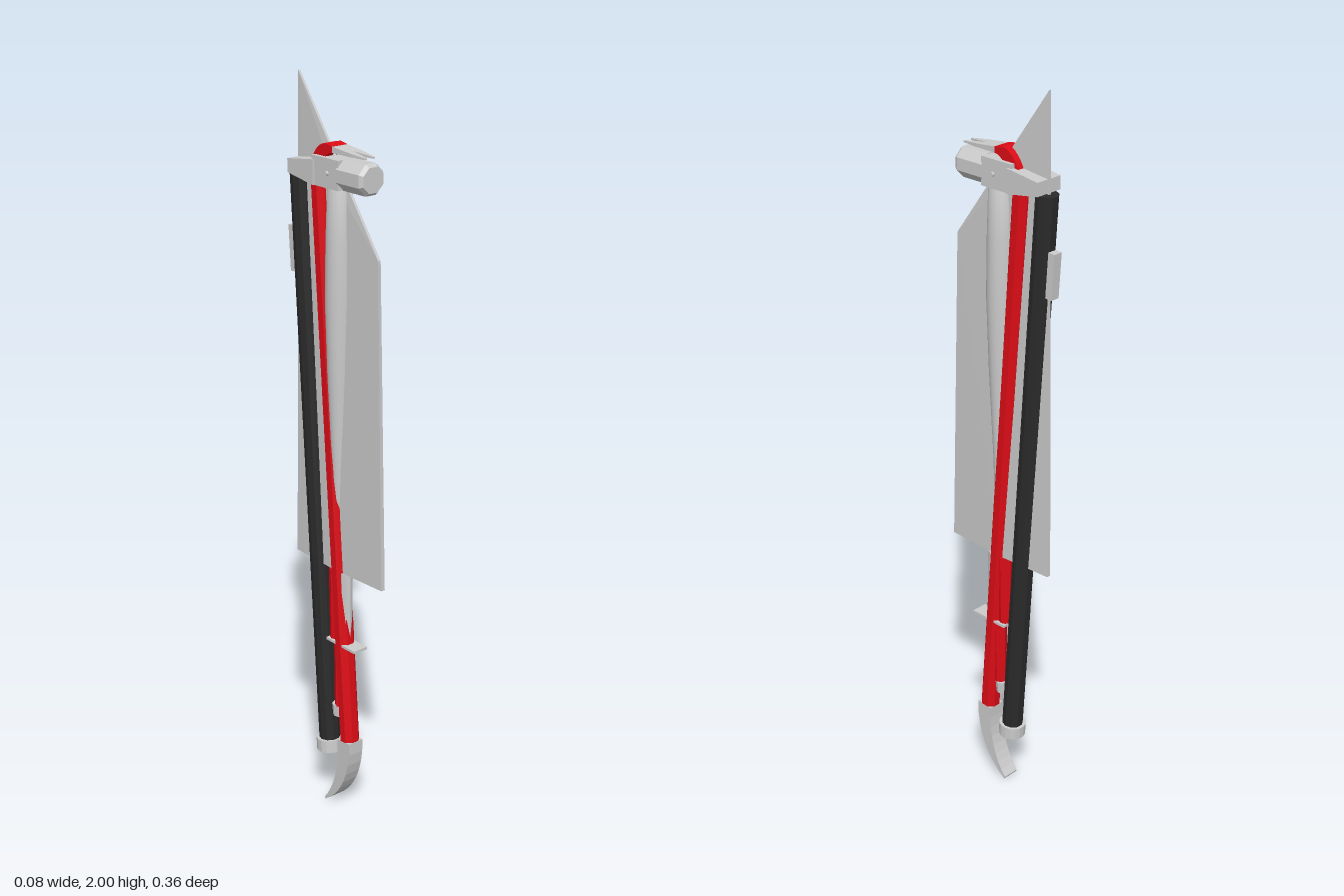
import * as THREE from 'three';
import { ConvexGeometry } from 'three/addons/geometries/ConvexGeometry.js';

const mat = (color) => new THREE.MeshStandardMaterial({ color, flatShading: true, side: THREE.DoubleSide });

export function createModel() {
  const group = new THREE.Group();
  const grey = mat(0xcccccc), red = mat(0xdd0c16), black = mat(0x2a2a2a);

  const add = (name, geometry, material, x = 0, y = 0, z = 0) => {
    const mesh = new THREE.Mesh(geometry, material);
    mesh.name = name;
    mesh.position.set(x, y, z);
    group.add(mesh);
    return mesh;
  };

  // Straight bar between two [z, y] points in the middle plane
  const bar = (name, a, b, rBottom, rTop, sides, material) => {
    const dz = b[0] - a[0], dy = b[1] - a[1];
    const geo = new THREE.CylinderGeometry(rTop, rBottom, Math.hypot(dz, dy), sides);
    geo.rotateY(Math.PI / sides);
    const mesh = add(name, geo, material, 0, (a[1] + b[1]) / 2, (a[0] + b[0]) / 2);
    mesh.rotation.x = Math.atan2(dz, dy);
    return mesh;
  };

  // Side profile in [z, y], extruded across the width
  const profile = (name, shape, width, material) => {
    const geo = new THREE.ExtrudeGeometry(shape, { depth: width, bevelEnabled: false, curveSegments: 8 });
    geo.translate(0, 0, -width / 2);
    geo.rotateY(-Math.PI / 2);
    return add(name, geo, material);
  };

  // Broad blade, thickest along the middle, with a slanted pointed top
  const bladePoints = [];
  for (const [z, y, t] of [
    [0.18, 0.71, 0.006], [0, 0.71, 0.014], [-0.165, 0.71, 0.006],
    [0.155, 1.58, 0.004], [0, 1.74, 0.007], [-0.15, 2, 0.003],
  ]) for (const s of [-1, 1]) bladePoints.push(new THREE.Vector3(s * t, y, z));
  add('blade', new ConvexGeometry(bladePoints), grey);

  // Hammer handle: swollen near the head, slimmer downwards
  const handle = new THREE.LatheGeometry([
    [0, 0.7], [0.014, 0.7], [0.021, 1], [0.032, 1.25], [0.038, 1.45], [0.036, 1.6], [0.031, 1.76], [0, 1.76],
  ].map(([r, y]) => new THREE.Vector2(r, y)), 16);
  const handleMaterial = mat(0xcccccc);
  handleMaterial.flatShading = false;
  add('hammerHandle', handle, handleMaterial, 0, 0, 0.006);

  // Hammer head: octagonal striking end, central block and blunt rear wedge
  const octagon = (r, length) => {
    const geo = new THREE.CylinderGeometry(r[0], r[1], length, 8);
    geo.rotateY(Math.PI / 8);
    geo.rotateX(Math.PI / 2);
    return geo;
  };
  add('hammerPoll', octagon([0.042, 0.042], 0.085), grey, 0, 1.773, 0.078);
  add('hammerFace', octagon([0.034, 0.042], 0.01), grey, 0, 1.773, 0.1255);
  add('hammerCheek', new THREE.BoxGeometry(0.07, 0.074, 0.1), grey, 0, 1.773, -0.01);
  const rear = [];
  for (const x of [-0.04, 0.04]) {
    for (const [z, y] of [[-0.05, 1.736], [-0.05, 1.8], [-0.15, 1.752], [-0.15, 1.787]]) {
      rear.push(new THREE.Vector3(x, y, z));
    }
  }
  add('hammerRear', new ConvexGeometry(rear), grey);
  const pin = new THREE.CylinderGeometry(0.006, 0.006, 0.084, 8);
  pin.rotateZ(Math.PI / 2);
  add('hammerPin', pin, grey, 0, 1.773, 0);

  // Hilt below the blade
  add('gripCollar', new THREE.CylinderGeometry(0.017, 0.017, 0.21, 8), grey, 0, 0.605, 0.033);
  add('upperGrip', new THREE.CylinderGeometry(0.02, 0.017, 0.21, 8), red, 0, 0.605, -0.008);
  add('guard', new THREE.BoxGeometry(0.045, 0.007, 0.115), grey, 0, 0.502, 0.034);
  add('lowerGrip', new THREE.CylinderGeometry(0.018, 0.016, 0.2, 8), red, 0, 0.405, 0.01);
  add('pommel', new THREE.CylinderGeometry(0.019, 0.016, 0.035, 8), grey, 0, 0.29, 0.003);

  // Pry bar: shaft, top bend, slotted claw and curved chisel end
  bar('pryBarShaft', [0.049, 0.215], [-0.068, 1.76], 0.0265, 0.0265, 8, red);
  const bend = new THREE.Shape();
  bend.moveTo(-0.09, 1.74);
  bend.quadraticCurveTo(-0.07, 1.84, -0.02, 1.842);
  bend.lineTo(0.005, 1.838);
  bend.lineTo(0.005, 1.822);
  bend.quadraticCurveTo(-0.035, 1.82, -0.045, 1.74);
  profile('pryBarBend', bend, 0.048, red);

  const claw = new THREE.Shape([
    [-0.024, 0], [0.024, 0], [0.022, 0.07], [0.016, 0.118], [0.01, 0.118],
    [0, 0.055], [-0.01, 0.118], [-0.016, 0.118], [-0.022, 0.07],
  ].map(([x, z]) => new THREE.Vector2(x, z)));
  const clawGeo = new THREE.ExtrudeGeometry(claw, { depth: 0.016, bevelEnabled: false });
  clawGeo.rotateX(Math.PI / 2);
  const p = clawGeo.attributes.position;
  for (let i = 0; i < p.count; i++) {
    const t = p.getZ(i) / 0.118;
    p.setY(i, 1.838 - 0.012 * t + p.getY(i) * (1 - 0.75 * t));
  }
  clawGeo.computeVertexNormals();
  add('pryBarClaw', clawGeo, grey);

  const chisel = new THREE.Shape();
  chisel.moveTo(0.074, 0.217);
  chisel.bezierCurveTo(0.078, 0.12, 0.035, 0.04, -0.027, 0);
  chisel.lineTo(-0.03, 0.006);
  chisel.bezierCurveTo(0.01, 0.055, 0.03, 0.12, 0.026, 0.213);
  profile('pryBarChisel', chisel, 0.048, grey);

  // Dark tube with an end cap and a small clip
  bar('tube', [-0.036, 0.185], [-0.145, 1.75], 0.029, 0.029, 10, black);
  bar('tubeCap', [-0.034, 0.153], [-0.0365, 0.188], 0.037, 0.037, 16, grey);
  const clip = add('tubeClip', new THREE.BoxGeometry(0.026, 0.12, 0.02), grey, 0, 1.55, -0.168);
  clip.rotation.x = -0.07;

  return group;
}
